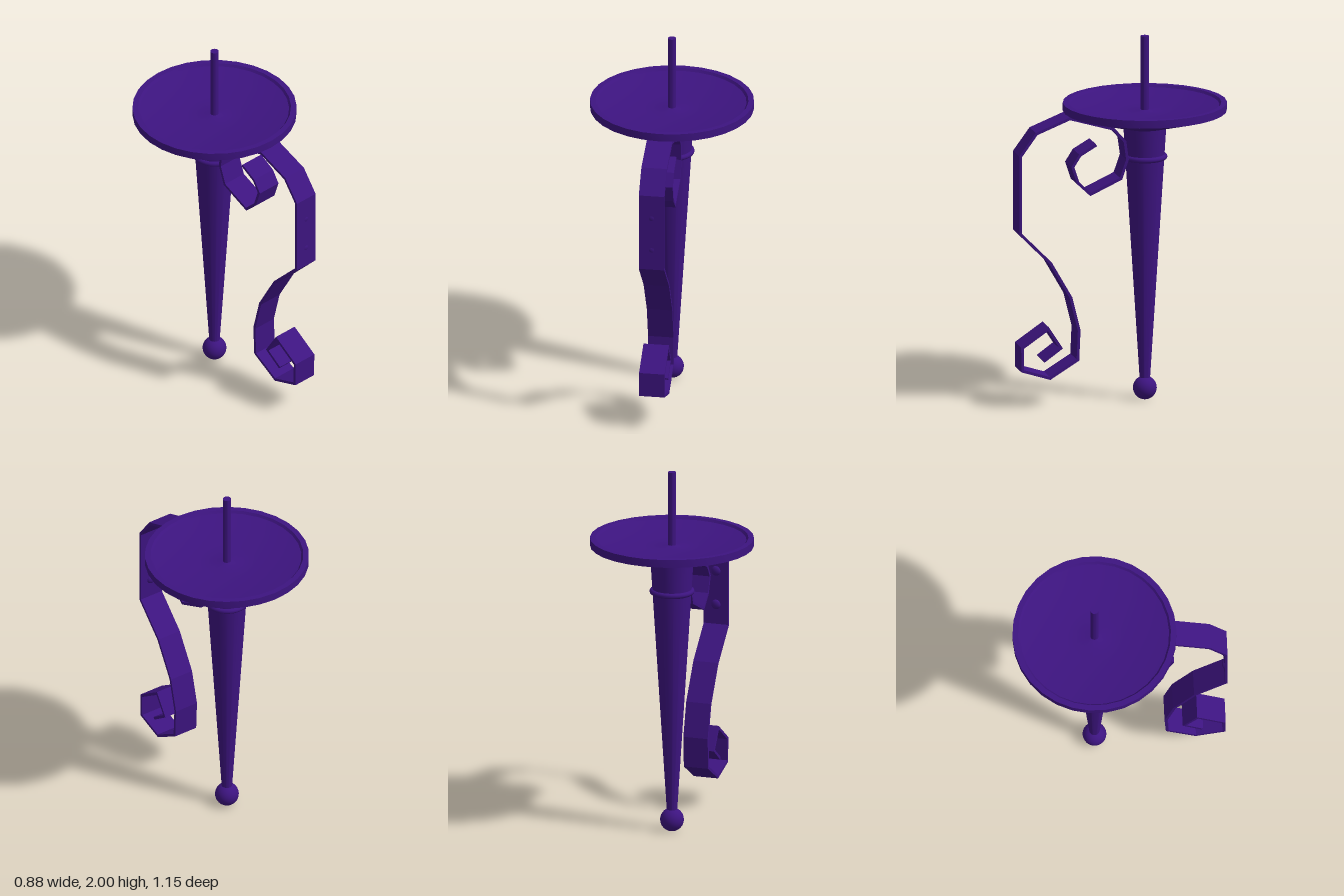
import * as THREE from 'three';
import { toCreasedNormals } from 'three/addons/utils/BufferGeometryUtils.js';

const AXIS_Z = -0.135; // vertical axis of the torch
const STRIP_WIDTH = 0.138;
const STRIP_THICKNESS = 0.015;

// Outline of a mitred band of constant thickness along an open polyline
function bandShape(points, thickness) {
  const pts = points.map(([a, b]) => new THREE.Vector2(a, b));
  const normal = (a, b) => new THREE.Vector2(a.y - b.y, b.x - a.x).normalize();
  const left = [], right = [];
  pts.forEach((p, i) => {
    const before = normal(pts[Math.max(i - 1, 0)], pts[Math.max(i, 1)]);
    const after = i < pts.length - 1 ? normal(p, pts[i + 1]) : before;
    const mitre = before.clone().add(after).normalize();
    mitre.multiplyScalar(thickness / 2 / mitre.dot(after));
    left.push(p.clone().add(mitre));
    right.unshift(p.clone().sub(mitre));
  });
  return new THREE.Shape([...left, ...right]);
}

export function createModel() {
  const group = new THREE.Group();
  const material = new THREE.MeshStandardMaterial({ color: 0x3d1480 });

  const add = (name, geometry, x = 0, y = 0, z = 0) => {
    const mesh = new THREE.Mesh(geometry, material);
    mesh.name = name;
    mesh.position.set(x, y, z);
    group.add(mesh);
    return mesh;
  };
  const lathe = (profile, sides) => toCreasedNormals(
    new THREE.LatheGeometry(profile.map(([r, y]) => new THREE.Vector2(r, y)), sides), 0.5);

  // Shallow drip dish with a thin rim
  add('dish', lathe([
    [0, 1.5], [0.115, 1.5], [0.44, 1.592], [0.44, 1.635], [0.41, 1.635],
    [0.4, 1.622], [0.3, 1.604], [0.15, 1.592], [0.045, 1.588], [0.022, 1.595], [0, 1.595],
  ], 30), 0, 0, AXIS_Z);

  // Candle spike
  add('spike', toCreasedNormals(new THREE.CylinderGeometry(0.022, 0.022, 0.42, 20), 0.6), 0, 1.79, AXIS_Z);

  // Tapered stem, its collar and the ball at the foot
  add('stem', toCreasedNormals(new THREE.CylinderGeometry(0.115, 0.027, 1.4, 30), 0.6), 0, 0.8, AXIS_Z);
  add('collar', new THREE.TorusGeometry(0.106, 0.015, 10, 30), 0, 1.337, AXIS_Z).rotation.x = Math.PI / 2;
  add('ball', new THREE.SphereGeometry(0.064, 24, 16), 0, 0.064, AXIS_Z);

  // Scrolled wall strip, drawn as [z, y] from the upper curl to the lower one
  const path = [
    [0.15, 1.43], [0.24, 1.378], [0.28, 1.315], [0.25, 1.225], [0.182, 1.16],
    [0.014, 1.237], [-0.022, 1.34], [-0.008, 1.44], [0.055, 1.512], [0.295, 1.583],
    [0.48, 1.51], [0.568, 1.39], [0.568, 0.962], [0.402, 0.793], [0.29, 0.597],
    [0.245, 0.415], [0.252, 0.253], [0.405, 0.16], [0.556, 0.208], [0.558, 0.335],
    [0.415, 0.432], [0.345, 0.323], [0.44, 0.255],
  ];
  const strip = new THREE.ExtrudeGeometry(bandShape(path, STRIP_THICKNESS), {
    depth: STRIP_WIDTH, bevelEnabled: false,
  });
  strip.translate(0, 0, -STRIP_WIDTH / 2);
  strip.rotateY(-Math.PI / 2); // shape x becomes z
  add('scrollStrip', strip);

  // Two domed rivets on the inner face of the strip
  for (const y of [1.26, 1.073]) {
    add('rivet', new THREE.SphereGeometry(0.027, 16, 10), 0, y, 0.563).scale.z = 0.55;
  }

  return group;
}
